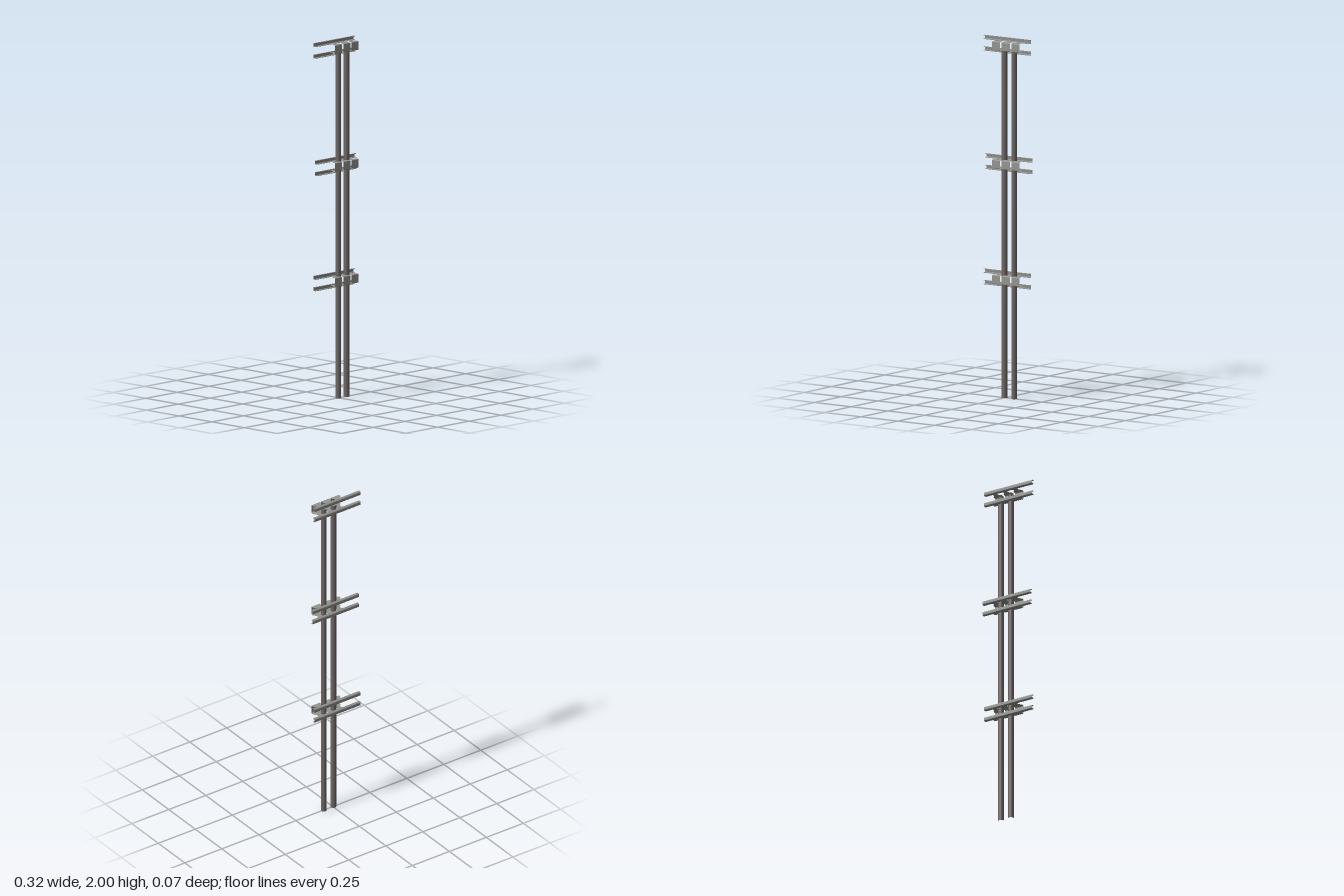
import * as THREE from 'three';

const clampMetal = new THREE.MeshStandardMaterial({ name: 'clampMetal', color: 0x949490, side: THREE.DoubleSide });
const railMetal = new THREE.MeshStandardMaterial({ name: 'railMetal', color: 0x8c8c89, side: THREE.DoubleSide });
const pipeMetal = new THREE.MeshStandardMaterial({ name: 'pipeMetal', color: 0x6e6663 });

const PIPE_X = [-0.004, 0.061];
const CLAMP_X = [-0.0365, 0.0285, 0.0935];

// Bent sheet: a (z, y) profile swept across x, with a half width for every z
function bentSheet(profile, halfWidth) {
  const position = [], index = [];
  profile.forEach((p, i) => {
    const w = halfWidth(p.x);
    position.push(-w, p.y, p.x, w, p.y, p.x);
    if (i > 0) {
      const a = 2 * (i - 1);
      index.push(a, a + 2, a + 1, a + 1, a + 2, a + 3);
    }
  });
  const geometry = new THREE.BufferGeometry();
  geometry.setAttribute('position', new THREE.Float32BufferAttribute(position, 3));
  geometry.setIndex(index);
  geometry.computeVertexNormals();
  return geometry;
}

// Clamp plates narrow to a neck, leaving round openings for the pipes
function clampHalfWidth(z) {
  if (z >= 0.016) return 0.0275;
  if (z > 0.004) return THREE.MathUtils.mapLinear(z, 0.004, 0.016, 0.0153, 0.0275);
  return 0.0325 - Math.sqrt(0.019 ** 2 - (z + 0.004) ** 2);
}

// Clamp profile: top plate, rounded front, bottom plate
function clampGeometry() {
  const h = 0.025, front = 0.034, r = 0.004;
  const half = [];
  for (let i = 0; i <= 18; i++) half.push(new THREE.Vector2(-0.02 + i * 0.002, h));
  for (let i = 0; i <= 6; i++) {
    const a = (i / 6) * Math.PI / 2;
    half.push(new THREE.Vector2(front - r + r * Math.sin(a), h - r + r * Math.cos(a)));
  }
  const mirrored = half.map((p) => new THREE.Vector2(p.x, -p.y)).reverse();
  return bentSheet([...half, ...mirrored], clampHalfWidth);
}

// Rail: thin C channel, open to the front, with rounded back corners
function railGeometry(length) {
  const h = 0.011, t = 0.002, front = -0.02, back = -0.036, r = 0.005;
  const s = new THREE.Shape();
  s.moveTo(front, h);
  s.lineTo(back + r, h);
  s.absarc(back + r, h - r, r, Math.PI / 2, Math.PI, false);
  s.absarc(back + r, -h + r, r, Math.PI, Math.PI * 1.5, false);
  s.lineTo(front, -h);
  s.lineTo(front, -h + t);
  s.lineTo(back + r, -h + t);
  s.absarc(back + r, -h + r, r - t, Math.PI * 1.5, Math.PI, true);
  s.absarc(back + r, h - r, r - t, Math.PI, Math.PI / 2, true);
  s.lineTo(front, h - t);
  s.closePath();
  const geometry = new THREE.ExtrudeGeometry(s, { depth: length, bevelEnabled: false, curveSegments: 6 });
  geometry.translate(0, 0, -length / 2);
  geometry.rotateY(-Math.PI / 2); // profile axis to z, length to x
  return geometry;
}

export function createModel() {
  const model = new THREE.Group();
  model.name = 'pipeSupportRack';
  const add = (parent, name, geometry, material, x, y, z = 0) => {
    const mesh = new THREE.Mesh(geometry, material);
    mesh.name = name;
    mesh.position.set(x, y, z);
    parent.add(mesh);
  };

  // Two long open pipes
  const pipeHeight = 1.957;
  const pipe = new THREE.CylinderGeometry(0.016, 0.016, pipeHeight, 24, 1, true);
  PIPE_X.forEach((x) => add(model, 'pipe', pipe, pipeMetal, x, pipeHeight / 2));

  // Three brackets: a pair of rails and three clamps around the pipes
  const clamp = clampGeometry();
  const rail = railGeometry(0.312);
  const levels = [
    { y: 0.657, railX: -0.007 },
    { y: 1.299, railX: 0.004 },
    { y: 1.957, railX: -0.007 },
  ];
  levels.forEach(({ y, railX }) => {
    const bracket = new THREE.Group();
    bracket.name = 'bracket';
    bracket.position.y = y;
    for (const side of [-1, 1]) {
      add(bracket, side > 0 ? 'upperRail' : 'lowerRail', rail, railMetal, railX, side * 0.032);
    }
    CLAMP_X.forEach((x) => add(bracket, 'clamp', clamp, clampMetal, x, 0));
    model.add(bracket);
  });
  return model;
}
